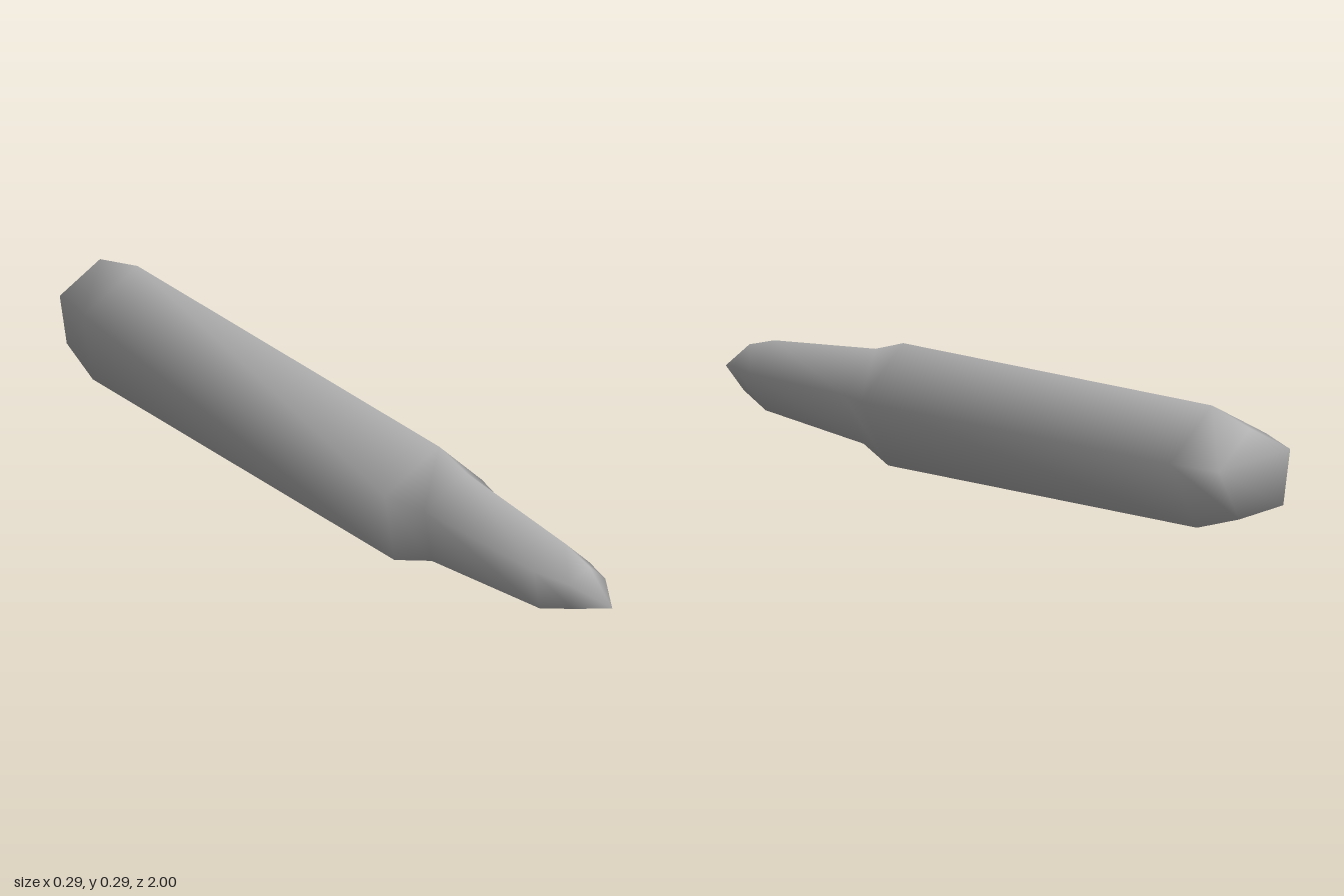
import * as THREE from 'three';

const SIDES = 5;
const TURN = Math.PI / 20; // the pentagon is rolled by 9 degrees

// Cross-sections from tail to nose: z, centre x, centre y, radius
const sections = [
  [-1.0, -0.006, 0.138, 0.113],
  [-0.86, -0.008, 0.137, 0.152],
  [0.31, -0.008, 0.137, 0.152],
  [0.415, -0.002, 0.144, 0.118],
  [0.8, 0.001, 0.146, 0.087],
  [0.895, 0.005, 0.154, 0.057],
];
const tip = [0.002, 0.146, 1];

export function createModel() {
  const group = new THREE.Group();
  group.name = 'cartridge';
  const metal = new THREE.MeshStandardMaterial({ color: 0xb0b0b0 });
  metal.name = 'grey metal';

  const positions = [];
  const index = [];

  // Rings of corners along the length
  for (const [z, cx, cy, r] of sections) {
    for (let i = 0; i < SIDES; i++) {
      const a = TURN + (i / SIDES) * Math.PI * 2;
      positions.push(cx + r * Math.cos(a), cy + r * Math.sin(a), z);
    }
  }

  // Side walls: tail taper, case, shoulder, neck and nose
  for (let s = 0; s < sections.length - 1; s++) {
    for (let i = 0; i < SIDES; i++) {
      const j = (i + 1) % SIDES;
      const a = s * SIDES + i, b = s * SIDES + j;
      index.push(a, b, b + SIDES, a, b + SIDES, a + SIDES);
    }
  }

  // Pointed nose
  const last = (sections.length - 1) * SIDES;
  const point = sections.length * SIDES;
  positions.push(...tip);
  for (let i = 0; i < SIDES; i++) index.push(last + i, last + ((i + 1) % SIDES), point);

  // Flat tail cap, sharing its corners so the shading stays smooth
  for (let i = 1; i < SIDES - 1; i++) index.push(0, i + 1, i);

  const geometry = new THREE.BufferGeometry();
  geometry.setAttribute('position', new THREE.Float32BufferAttribute(positions, 3));
  geometry.setIndex(index);
  geometry.computeVertexNormals();

  const body = new THREE.Mesh(geometry, metal);
  body.name = 'cartridgeBody';
  group.add(body);
  return group;
}
